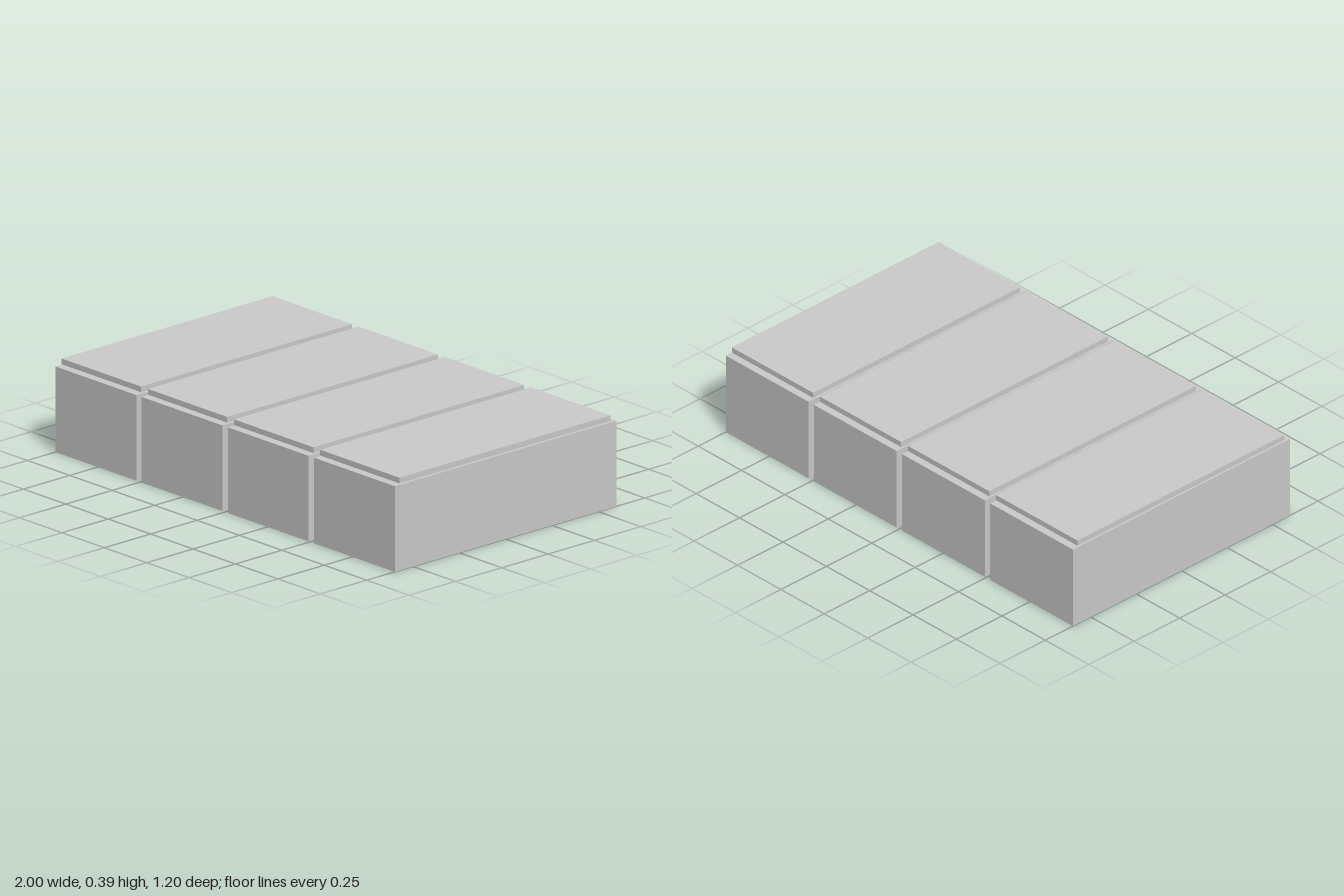
import * as THREE from 'three';

export function createModel() {
  const model = new THREE.Group();
  const material = new THREE.MeshStandardMaterial({ color: 0xcccccc, flatShading: true });

  const bodyGeometry = new THREE.BoxGeometry(0.477, 0.36, 1.196);
  const plateGeometry = new THREE.BoxGeometry(0.468, 0.024, 1.138);

  // Four identical blocks in a row, separated by narrow gaps
  const pitch = 0.5077;
  for (let i = 0; i < 4; i++) {
    const block = new THREE.Group();
    block.name = `block${i + 1}`;
    block.position.x = (i - 1.5) * pitch;

    const body = new THREE.Mesh(bodyGeometry, material);
    body.name = 'blockBody';
    body.position.y = 0.18;

    // Thin plate hovering just above the body
    const plate = new THREE.Mesh(plateGeometry, material);
    plate.name = 'topPlate';
    plate.position.y = 0.376;

    block.add(body, plate);
    model.add(block);
  }
  return model;
}
